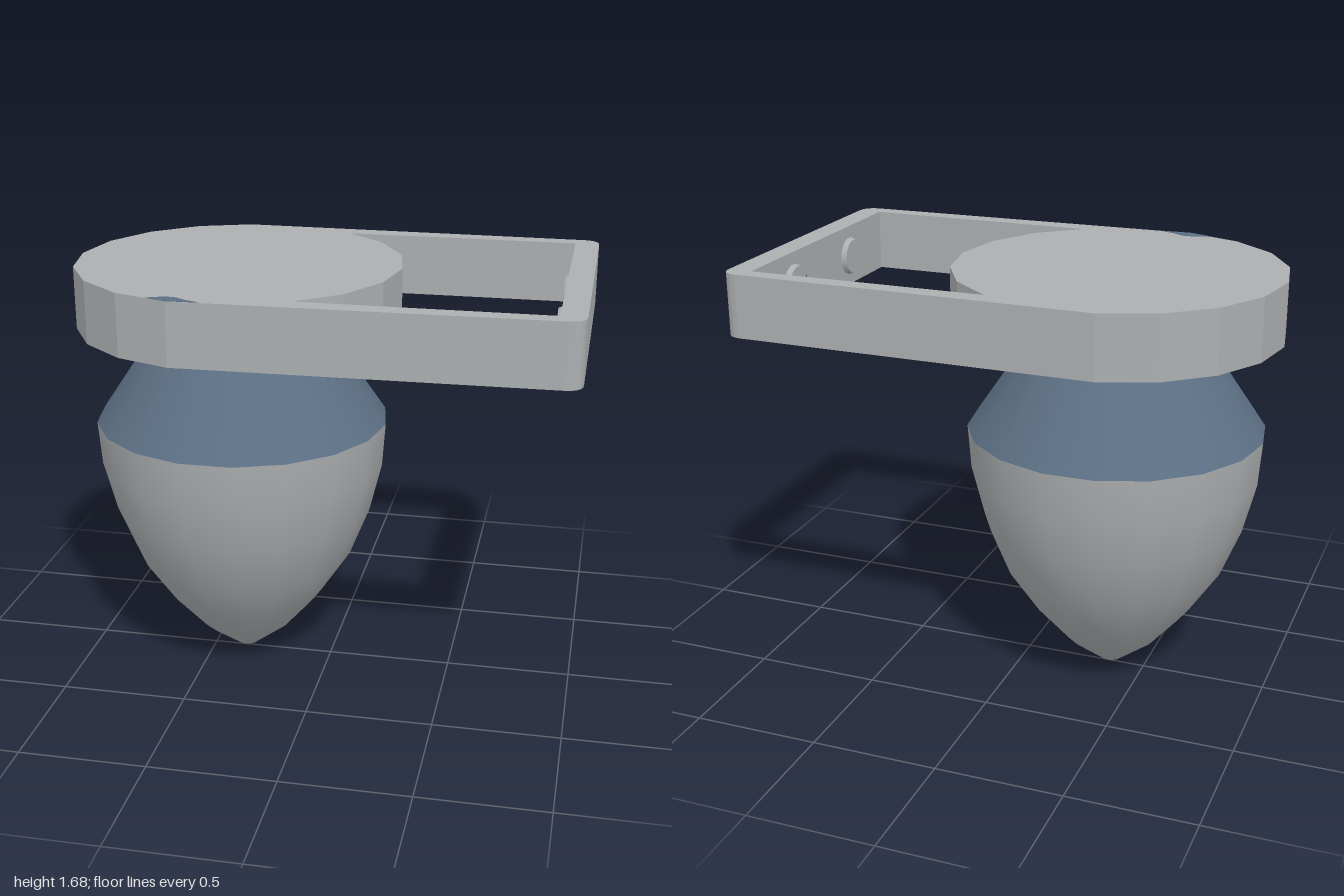
import * as THREE from 'three';

const CX = -0.36;      // axis of the bulb and cap
const TOP = 1.68;      // top of the cap
const THICK = 0.245;   // cap and loop height
const SIDES = 18;

export function createModel() {
  const grey = new THREE.MeshStandardMaterial({ color: 0xacafb1 });
  grey.name = 'grey';
  const blue = new THREE.MeshStandardMaterial({ color: 0x5c6f84 });
  blue.name = 'slate blue';
  const group = new THREE.Group();
  group.name = 'pointedBulbWithLoop';

  const add = (name, geometry, material, x = 0, y = 0, z = 0) => {
    const mesh = new THREE.Mesh(geometry, material);
    mesh.name = name;
    mesh.position.set(x, y, z);
    group.add(mesh);
    return mesh;
  };
  const lathe = (name, profile, material) => add(name, new THREE.LatheGeometry(
    profile.map(([r, y]) => new THREE.Vector2(r, y)), SIDES, Math.PI / 2), material, CX);
  // point on the cap's polygon, in plan (x, z)
  const rim = (deg, r = 0.64) => {
    const a = THREE.MathUtils.degToRad(deg);
    return new THREE.Vector2(CX + r * Math.cos(a), r * Math.sin(a));
  };
  // plan outline pushed downwards from height y
  const slab = (name, shape, depth, y, material) => {
    const geometry = new THREE.ExtrudeGeometry(shape, { depth, bevelEnabled: false, curveSegments: 5 });
    geometry.rotateX(Math.PI / 2);
    return add(name, geometry, material, 0, y);
  };

  // Pointed body
  lathe('body', [[0, 0], [0.045, 0.025], [0.19, 0.14], [0.32, 0.29], [0.44, 0.47],
    [0.52, 0.67], [0.57, 0.87], [0.583, 1.045]], grey);

  // Sloping shoulder, straight neck and underside of the cap
  lathe('shoulder', [[0.583, 1.045], [0.376, 1.35]], blue);
  lathe('neck', [[0.376, 1.35], [0.376, 1.432]], blue);
  lathe('capUnderside', [[0.37, 1.431], [0.615, 1.431], [0.615, 1.437]], blue);

  // Cap and rectangular loop as one slab with a window
  const outline = new THREE.Shape();
  outline.moveTo(0.94, -0.61);
  outline.quadraticCurveTo(1, -0.605, 1, -0.54);
  outline.lineTo(1, 0.54);
  outline.quadraticCurveTo(1, 0.605, 0.94, 0.61);
  for (let deg = 100; deg <= 260; deg += 20) {
    const p = rim(deg);
    outline.lineTo(p.x, p.y);
  }
  outline.closePath();
  const window = new THREE.Path([
    new THREE.Vector2(0.905, -0.545), new THREE.Vector2(-0.03, -0.545),
    rim(-40), rim(-20), rim(0), rim(20), rim(40),
    new THREE.Vector2(-0.03, 0.545), new THREE.Vector2(0.905, 0.545),
  ]);
  outline.holes.push(window);
  slab('capAndLoop', outline, THICK, TOP, grey);

  // Small painted mark on the cap's edge
  const mark = new THREE.Shape([[-0.55, 0.6], [-0.49, 0.575], [-0.45, 0.575], [-0.4, 0.605],
    [-0.35, 0.624], [-0.471, 0.629]].map(([x, z]) => new THREE.Vector2(x, z)));
  slab('capMark', mark, 0.004, TOP + 0.002, blue);

  // Two round studs inside the loop's end
  for (const z of [-0.23, 0.25]) {
    const stud = new THREE.CylinderGeometry(0.07, 0.08, 0.024, 14);
    stud.rotateZ(Math.PI / 2);
    add('stud', stud, grey, 0.897, 1.555, z);
  }

  // Painted segment on one stud
  const segment = new THREE.Shape();
  segment.absarc(0, 0, 0.068, -2.1, 0.35, false);
  segment.closePath();
  add('studMark', new THREE.ShapeGeometry(segment, 8), blue, 0.883, 1.555, -0.23)
    .rotation.y = -Math.PI / 2;

  return group;
}
